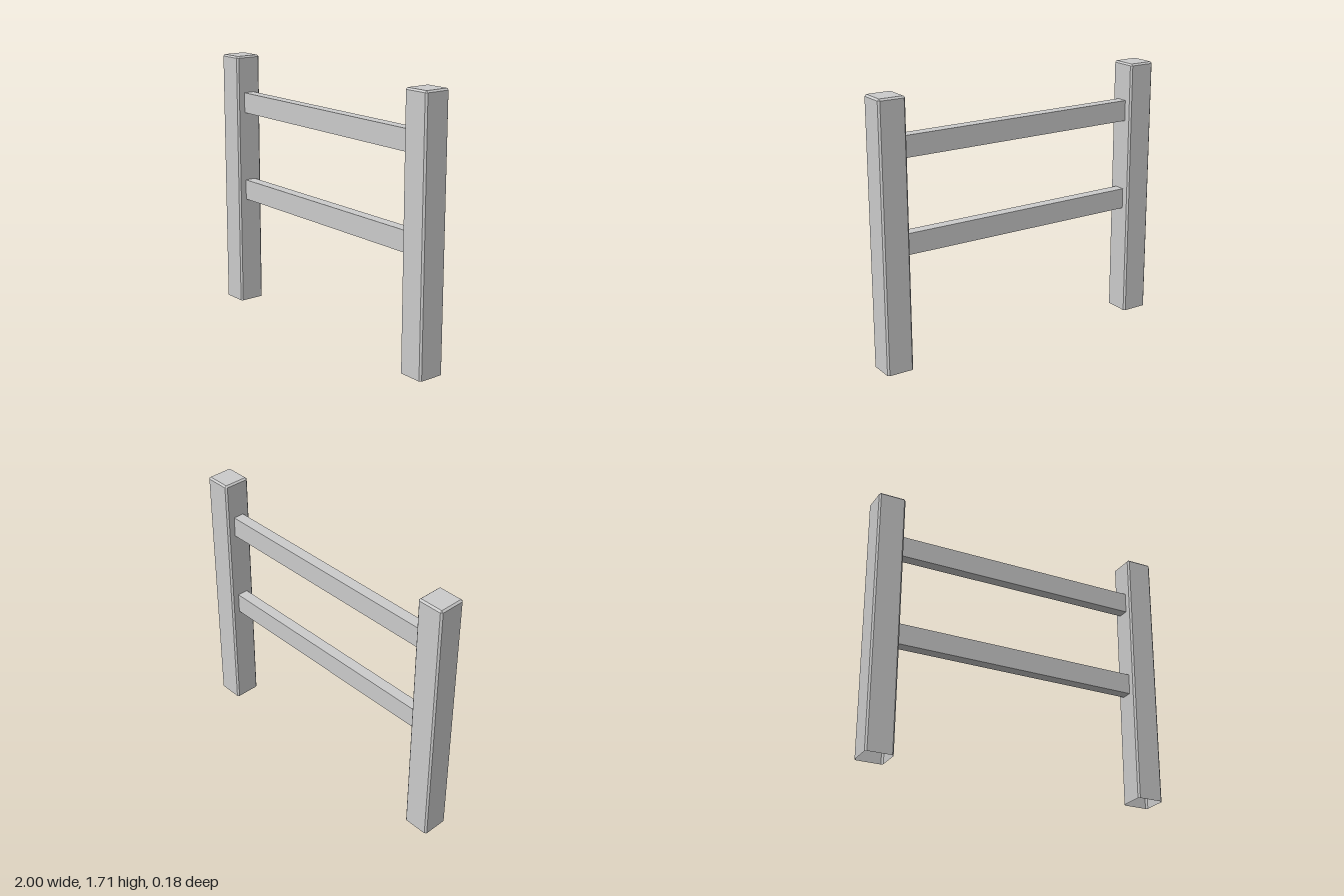
import * as THREE from 'three';

const material = new THREE.MeshStandardMaterial({ color: 0xcccccc, flatShading: true, side: THREE.DoubleSide });

const POST_HALF = 0.0885, POST_HEIGHT = 1.706, CHAMFER = 0.011;
const POST_X = 1 - POST_HALF;

// Square ring with cut corners, counter-clockwise seen from above
function ring(half, cut, y) {
  const a = half, b = half - cut;
  return [[a, b], [a, -b], [b, -a], [-b, -a], [-a, -b], [-a, b], [-b, a], [b, a]]
    .map(([x, z]) => [x, y, z]);
}

// Hollow post: open at the bottom, chamfered edges and a flat top
function postGeometry() {
  const rings = [
    ring(POST_HALF, CHAMFER, 0),
    ring(POST_HALF, CHAMFER, POST_HEIGHT - CHAMFER),
    ring(POST_HALF - CHAMFER, 0.0005, POST_HEIGHT),
  ];
  const n = rings[0].length;
  const positions = [];
  const tri = (...points) => points.forEach((p) => positions.push(...p));
  for (let r = 0; r < rings.length - 1; r++) {
    for (let i = 0; i < n; i++) {
      const j = (i + 1) % n;
      const a = rings[r][i], b = rings[r][j], c = rings[r + 1][j], d = rings[r + 1][i];
      tri(a, b, c);
      tri(a, c, d);
    }
  }
  const top = rings[rings.length - 1];
  for (let i = 1; i < n - 1; i++) tri(top[0], top[i], top[i + 1]);

  const geometry = new THREE.BufferGeometry();
  geometry.setAttribute('position', new THREE.Float32BufferAttribute(positions, 3));
  geometry.computeVertexNormals();
  return geometry;
}

export function createModel() {
  const model = new THREE.Group();
  model.name = 'fenceSection';

  // Two upright posts
  const post = postGeometry();
  for (const [name, side] of [['leftPost', 1], ['rightPost', -1]]) {
    const mesh = new THREE.Mesh(post, material);
    mesh.name = name;
    mesh.position.x = side * POST_X;
    model.add(mesh);
  }

  // Two horizontal rails spanning between the posts
  const rail = new THREE.BoxGeometry(2 * (POST_X - POST_HALF) + 0.004, 0.135, 0.073);
  for (const [name, y] of [['lowerRail', 0.793], ['upperRail', 1.393]]) {
    const mesh = new THREE.Mesh(rail, material);
    mesh.name = name;
    mesh.position.y = y;
    model.add(mesh);
  }

  return model;
}
